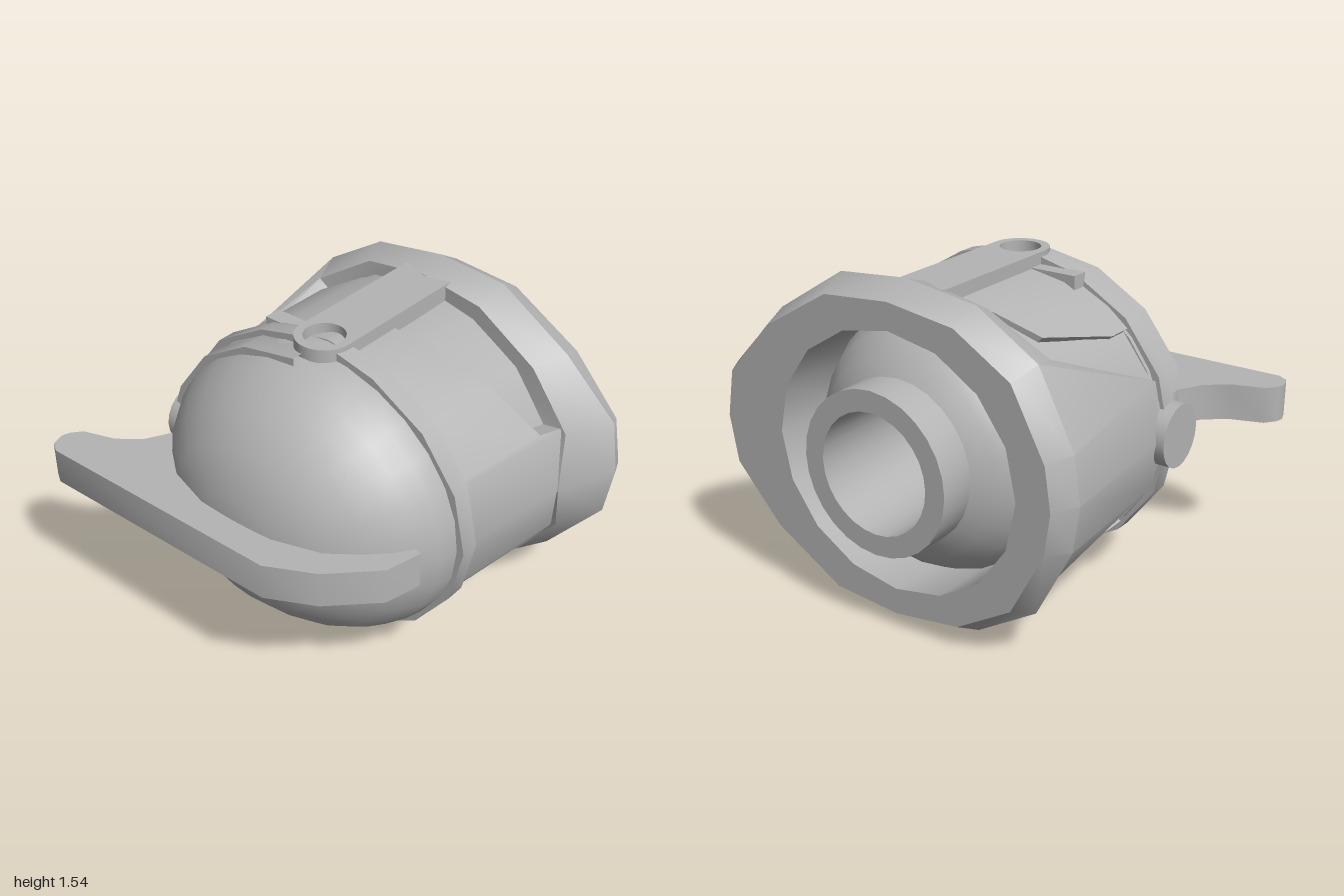
import * as THREE from 'three';
import { toCreasedNormals } from 'three/addons/utils/BufferGeometryUtils.js';

const CX = 0.02, CY = 0.77;
const rad = THREE.MathUtils.degToRad;

// Point on an ellipse around the eye axis
const onEllipse = (deg, a, b, z) => [CX + a * Math.cos(rad(deg)), CY + b * Math.sin(rad(deg)), z];

// Skin a list of cross-sections; rings run front to back, points counterclockwise
function loft(rings, closed = true) {
  const n = rings[0].length, idx = [];
  for (let i = 0; i < rings.length - 1; i++) {
    for (let j = 0; j < (closed ? n : n - 1); j++) {
      const k = (j + 1) % n, a = i * n + j, b = i * n + k, c = a + n, d = b + n;
      idx.push(a, c, b, b, c, d);
    }
  }
  const geo = new THREE.BufferGeometry();
  geo.setAttribute('position', new THREE.Float32BufferAttribute(rings.flat(2), 3));
  geo.setIndex(idx);
  return toCreasedNormals(geo, 0.6);
}

// Turned shape around the eye axis from [radius, z] pairs, squashed in height
function turned(points, squash = 1) {
  const geo = new THREE.LatheGeometry(points.map(([r, z]) => new THREE.Vector2(r, z)), 28);
  geo.rotateX(Math.PI / 2);
  geo.scale(1, squash, 1);
  geo.translate(CX, CY, 0);
  return toCreasedNormals(geo, 0.6);
}

export function createModel() {
  const model = new THREE.Group();
  model.name = 'mechanicalEye';
  const grey = new THREE.MeshStandardMaterial({ color: 0xb4b4b4, side: THREE.DoubleSide });
  grey.name = 'grey';
  const add = (name, geo) => {
    const mesh = new THREE.Mesh(geo, grey);
    mesh.name = name;
    model.add(mesh);
    return mesh;
  };
  const degs = Array.from({ length: 16 }, (_, i) => i * 22.5);

  // Front dome of the eyeball
  add('eyeballDome', turned([[0.765, 0.1], [0.765, 0.2], [0.745, 0.3], [0.7, 0.39], [0.645, 0.47],
    [0.565, 0.55], [0.43, 0.655], [0.22, 0.725], [0, 0.74]], 0.885));

  // Rounded back of the eyeball with the hollow pipe
  add('eyeballBackAndPipe', turned([[0, -0.35], [0.27, -0.35], [0.27, -0.89], [0.365, -0.89],
    [0.365, -0.72], [0.45, -0.67], [0.53, -0.59], [0.59, -0.48], [0.62, -0.34]]));

  // Base tube behind the dome
  const tube = [[0.70, 0.62, 0.2], [0.755, 0.667, 0.17], [0.75, 0.667, 0.1], [0.75, 0.66, -0.25], [0.77, 0.665, -0.65]];
  add('shellTube', loft(tube.map(([a, b, z]) => degs.map((d) => onEllipse(d, a, b, z)))));

  // Eyelid lip standing forward on the upper right of the shell
  const lidArc = [91, 112.5, 135, 157.5, 166];
  const lid = [[0.7, 0.61, 0.33], [0.765, 0.68, 0.33], [0.77, 0.682, 0.2]];
  add('eyelidLip', loft(lid.map(([a, b, z]) => lidArc.map((d) => onEllipse(d, a, b, z))), false));

  // Raised panel wrapped round the shell, its rear edge cut away above and below
  const half = [[0, -0.5], [22.5, -0.5], [24.5, -0.36], [45, -0.26], [67.5, -0.18], [89, -0.14],
    [91, -0.52], [112.5, -0.46], [128, -0.38], [138, 0.0], [138.5, 0.0]];
  const cols = [...half.slice(1).reverse().map(([d, z]) => [-d, z]), ...half];
  const last = cols.length - 1;
  const panelRing = (front, raised) => cols.map(([d, rear], i) => {
    const z = front ? 0.13 : rear;
    const up = raised && i > 0 && i < last;
    const grow = Math.max(0, Math.cos(rad(d))) * 0.15 * (0.13 - z);
    return onEllipse(d, up ? 0.775 + grow : 0.7, up ? 0.682 : 0.62, z);
  });
  add('raisedPanel', loft([panelRing(true, false), panelRing(true, true),
    panelRing(false, true), panelRing(false, false)], false));

  // Flared rear rim with a flat back face and a round opening; its right side runs forward as a cheek
  const top = [[0.99, 0.77], [0.95, 1.01], [0.71, 1.29], [0.36, 1.51], [0.02, 1.54],
    [-0.33, 1.49], [-0.62, 1.31], [-0.79, 0.98], [-0.82, 0.77]];
  const outline = [...top, ...top.slice(1, 8).reverse().map(([x, y]) => [x, 2 * CY - y])];
  const foot = [[-0.4, 0.45], [-0.48, 0.5], [-0.49, 0.55], [-0.5, 0.55], [-0.52, 0.55],
    [-0.54, 0.55], [-0.5, 0.5], [0.12, 0.1], [0.12, 0.1]];
  const footAt = (i) => foot[Math.min(i, 16 - i)];
  const rimRings = [
    degs.map((d, i) => onEllipse(d, 0.7, 0.62, footAt(i)[0])),
    degs.map((d, i) => {
      const [z, blend] = footAt(i);
      const [x, y] = onEllipse(d, 0.77, 0.665, z);
      return [x + (outline[i][0] - x) * blend, y + (outline[i][1] - y) * blend, z];
    }),
    outline.map(([x, y]) => [x, y, x > 0.8 ? -0.7 : -0.65]),
    outline.map(([x, y]) => [CX + (x - CX) * (x > 0 ? 0.97 : 0.93), CY + (y - CY) * 0.91, -0.77]),
    degs.map((d) => onEllipse(d, 0.62, 0.58, -0.77)),
    degs.map((d) => onEllipse(d, 0.62, 0.58, -0.35)),
  ];
  add('rearRim', loft(rimRings));

  // Flat band round the shell, interrupted at the two pivots
  for (const [name, turn] of [['bandLeft', 0], ['bandRight', 180]]) {
    const arc = [-82, -67.5, -45, -22.5, 0, 22.5, 45, 67.5, 82].map((d) => d + turn);
    const section = [[0.7, 0.62, 0.21], [0.797, 0.708, 0.21], [0.797, 0.708, 0.12], [0.7, 0.62, 0.12]];
    add(name, loft(section.map(([a, b, z]) => arc.map((d) => onEllipse(d, a, b, z))), false));
  }

  // Pivot straps above and below, rounded at the front with a bored hole
  const strap = new THREE.Shape();
  strap.moveTo(-0.13, -0.57);
  strap.lineTo(0.13, -0.57);
  strap.lineTo(0.13, 0.15);
  strap.absarc(0, 0.15, 0.13, 0, Math.PI, false);
  strap.closePath();
  const bore = new THREE.Path();
  bore.absarc(0, 0.15, 0.092, 0, Math.PI * 2, true);
  strap.holes.push(bore);
  const strapGeo = new THREE.ExtrudeGeometry(strap, { depth: 0.1, bevelEnabled: false, curveSegments: 12 });
  strapGeo.rotateX(Math.PI / 2);
  const strapSmooth = toCreasedNormals(strapGeo, 0.6);
  add('topStrap', strapSmooth).position.set(CX, 1.49, 0);
  add('bottomStrap', strapSmooth).position.set(CX, 0.155, 0);

  // Small tabs beside the straps
  for (const [name, y] of [['topTab', 1.395], ['bottomTab', 0.145]]) {
    add(name, new THREE.BoxGeometry(0.22, 0.08, 0.08)).position.set(-0.22, y, 0.09);
  }

  // Round button on the right side
  const button = new THREE.CylinderGeometry(0.145, 0.145, 0.1, 20);
  button.rotateZ(Math.PI / 2);
  add('sideButton', toCreasedNormals(button, 0.6)).position.set(-0.75, CY, 0.18);

  // Horizontal fin across the front of the eyeball, swept out to one side
  const fin = new THREE.Shape([[-1, 0.79], [-0.99, 0.75], [-0.95, 0.70], [-0.8, 0.65], [-0.7, 0.57],
    [-0.64, 0.46], [-0.6, 0.36], [0.6, 0.36], [0.74, 0.4], [0.7, 0.57], [0.51, 0.76], [0.3, 0.87], [-0.93, 0.88],
    [-0.98, 0.85]].map(([x, z]) => new THREE.Vector2(x, z)));
  const finGeo = new THREE.ExtrudeGeometry(fin, { depth: 0.17, bevelEnabled: false });
  finGeo.rotateX(Math.PI / 2);
  add('frontFin', toCreasedNormals(finGeo, 0.7)).position.y = 0.86;

  return model;
}
